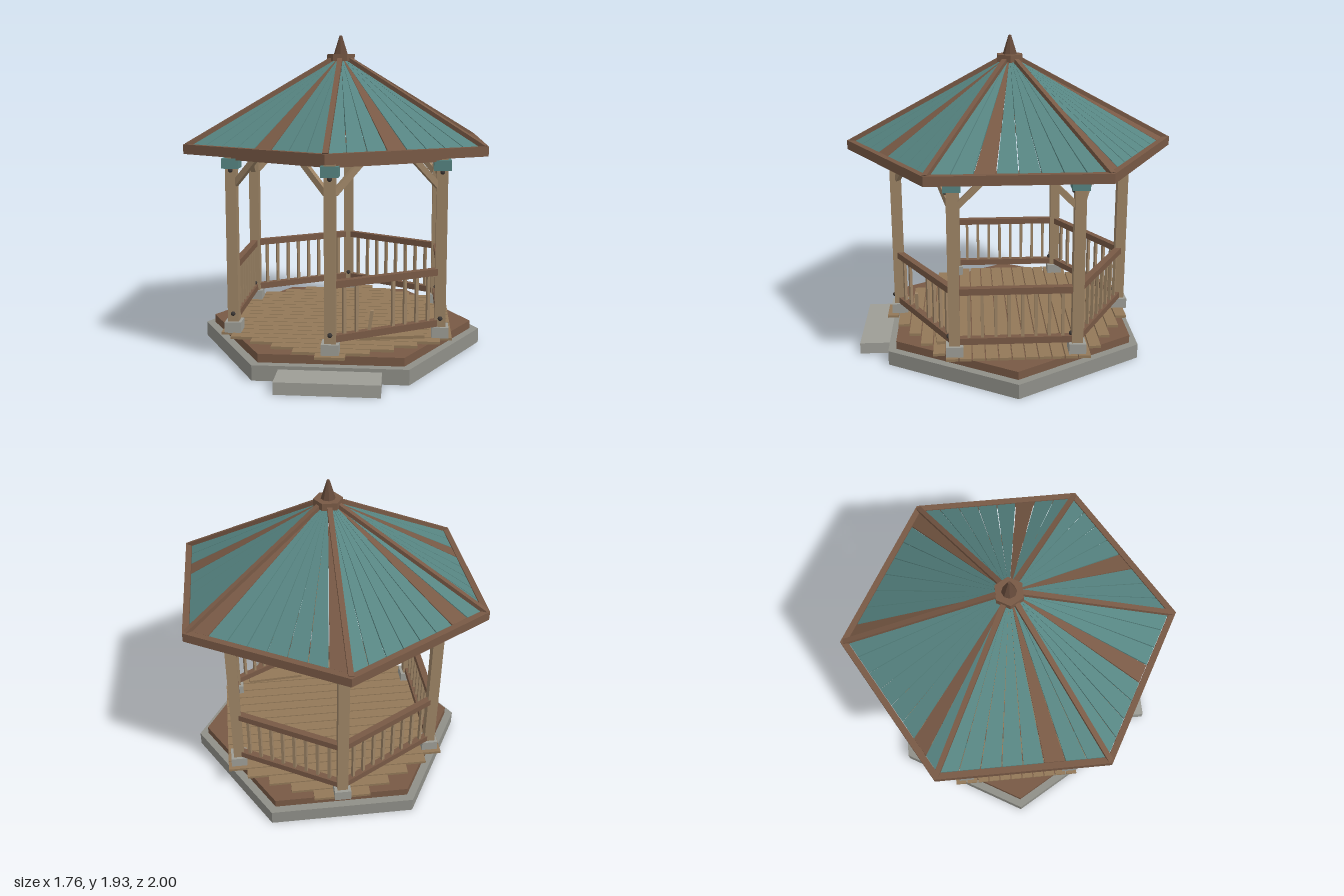
import * as THREE from 'three';

const mat = (name, color) => {
  const m = new THREE.MeshStandardMaterial({ color });
  m.name = name;
  return m;
};

export function createModel() {
  const tan = mat('tan timber', 0x9c8365);
  const deckTan = mat('deck timber', 0x927858);
  const brown = mat('brown timber', 0x785945);
  const darkBrown = mat('finial brown', 0x654a3a);
  const teal = mat('teal roof', 0x568481);
  const concrete = mat('concrete', 0x8f8f88);
  const stone = mat('pale stone', 0x9d9d96);
  const iron = mat('dark iron', 0x3a3634);

  const model = new THREE.Group();
  model.name = 'gazebo';

  const add = (name, geo, material, x = 0, y = 0, z = 0, ry = 0) => {
    const mesh = new THREE.Mesh(geo, material);
    mesh.name = name;
    mesh.position.set(x, y, z);
    mesh.rotation.y = ry;
    model.add(mesh);
    return mesh;
  };
  const box = (name, material, w, h, d, x, y, z, ry) =>
    add(name, new THREE.BoxGeometry(w, h, d), material, x, y, z, ry);

  // straight timber between two points
  const timber = (name, material, a, b, w, h) => {
    const mesh = box(name, material, w, h, a.distanceTo(b), 0, 0, 0);
    mesh.position.copy(a).add(b).multiplyScalar(0.5);
    mesh.lookAt(b);
    return mesh;
  };

  // corner k of a hexagon with one corner at the front, counted towards +x
  const corner = (k, r, y = 0) => {
    const a = (k * Math.PI) / 3;
    return new THREE.Vector3(r * Math.sin(a), y, r * Math.cos(a));
  };

  // hexagonal slab with flat sides at front and back
  const slab = (name, material, r, y0, y1) => {
    const geo = new THREE.CylinderGeometry(r, r, y1 - y0, 6).rotateY(Math.PI / 6).toNonIndexed();
    geo.computeVertexNormals();
    return add(name, geo, material, 0, (y0 + y1) / 2, 0);
  };

  // foundation, step and floor frame
  slab('foundation', concrete, 0.88, 0, 0.09);
  box('step', stone, 0.58, 0.07, 0.25, 0, 0.035, 0.825);
  slab('floorFrame', brown, 0.825, 0.09, 0.14);

  // deck boards, square-ended inside a hexagon
  for (let i = 0; i < 20; i++) {
    const z = 0.757 - i * 0.077;
    const half = Math.min(0.69, (0.806 - Math.abs(z)) * 1.732);
    box('deckBoard', deckTan, half * 2, 0.016, 0.07, 0, 0.15, z);
  }
  box('looseBoard', deckTan, 0.38, 0.018, 0.065, 0.335, 0.175, 0.45, 0.1).rotation.z = 0.025;

  const R = 0.715;
  for (let k = 0; k < 6; k++) {
    // posts with footings, collars and bolts
    const p = corner(k, R);
    box('post', tan, 0.065, 1.07, 0.065, p.x, 0.695, p.z);
    box('footing', stone, 0.1, 0.065, 0.1, p.x, 0.187, p.z);
    box('collar', teal, 0.1, 0.06, 0.1, p.x, 1.18, p.z);
    for (const y of [0.27, 1.14]) {
      add('bolt', new THREE.SphereGeometry(0.014, 10, 8), iron, p.x, y, p.z + 0.034);
    }

    // ring beam and knee braces
    timber('ringBeam', brown, corner(k, R, 1.225), corner(k + 1, R, 1.225), 0.05, 0.05);
    for (const step of [1, -1]) {
      const dir = corner(k + step, R).sub(p).normalize();
      const low = p.clone().addScaledVector(dir, 0.025).setY(1.055);
      const high = p.clone().addScaledVector(dir, 0.185).setY(1.215);
      timber('kneeBrace', tan, low, high, 0.03, 0.035);
    }
  }

  // railings on five sides, the front left side stays open
  for (let k = 0; k < 5; k++) {
    const a = corner(k, R), b = corner(k + 1, R);
    const ry = Math.atan2(b.x - a.x, b.z - a.z);
    for (const y of [0.24, 0.55]) {
      timber('rail', brown, a.clone().setY(y), b.clone().setY(y), 0.04, 0.04);
    }
    for (let i = 0; i < 8; i++) {
      const p = a.clone().lerp(b, 0.5 + ((i - 3.5) * 0.078) / R);
      if (k === 0 && i === 3) continue;
      if (k === 0 && i === 2) {
        // snapped baluster
        box('brokenBaluster', tan, 0.02, 0.12, 0.02, p.x + 0.01, 0.312, p.z).rotation.z = -0.14;
        continue;
      }
      box('baluster', tan, 0.018, 0.28, 0.018, p.x, 0.395, p.z, ry);
    }
  }

  // roof: height falls evenly with distance from the centre
  const roofY = (s) => 1.813 - 0.54 * s;
  const brownBoards = [[3], [2], [0, 7], [6], [5], [4]];

  // one tapered roof board, a box bent onto the slope
  const roofBoard = (k, i) => {
    const a = corner(k, 1), b = corner(k + 1, 1);
    const geo = new THREE.BoxGeometry(1, 1, 1);
    const pos = geo.attributes.position;
    for (let v = 0; v < pos.count; v++) {
      const f = (i + 0.5 + pos.getX(v) * 0.95) / 8;
      const s = pos.getZ(v) > 0 ? 0.955 : 0.06;
      const q = a.clone().lerp(b, f).multiplyScalar(s);
      pos.setXYZ(v, q.x, roofY(s) + pos.getY(v) * 0.014 - 0.007, q.z);
    }
    geo.computeVertexNormals();
    add('roofBoard', geo, brownBoards[k].includes(i) ? brown : teal);
  };

  for (let k = 0; k < 6; k++) {
    for (let i = 0; i < 8; i++) roofBoard(k, i);

    // hip rafter
    timber('hipRafter', brown, corner(k, 0.06, roofY(0.06) + 0.002),
      corner(k, 0.975, roofY(0.975) + 0.002), 0.03, 0.036);

    // eave board
    const am = ((k + 0.5) * Math.PI) / 3;
    box('eaveBoard', brown, 1, 0.055, 0.036, 0.848 * Math.sin(am), 1.272, 0.848 * Math.cos(am), am);
  }

  // cap and finial
  slab('roofCap', brown, 0.086, 1.775, 1.818);
  const spike = new THREE.CylinderGeometry(0.008, 0.047, 0.125, 8).toNonIndexed();
  spike.computeVertexNormals();
  add('finial', spike, darkBrown, 0, 1.868, 0);

  return model;
}
